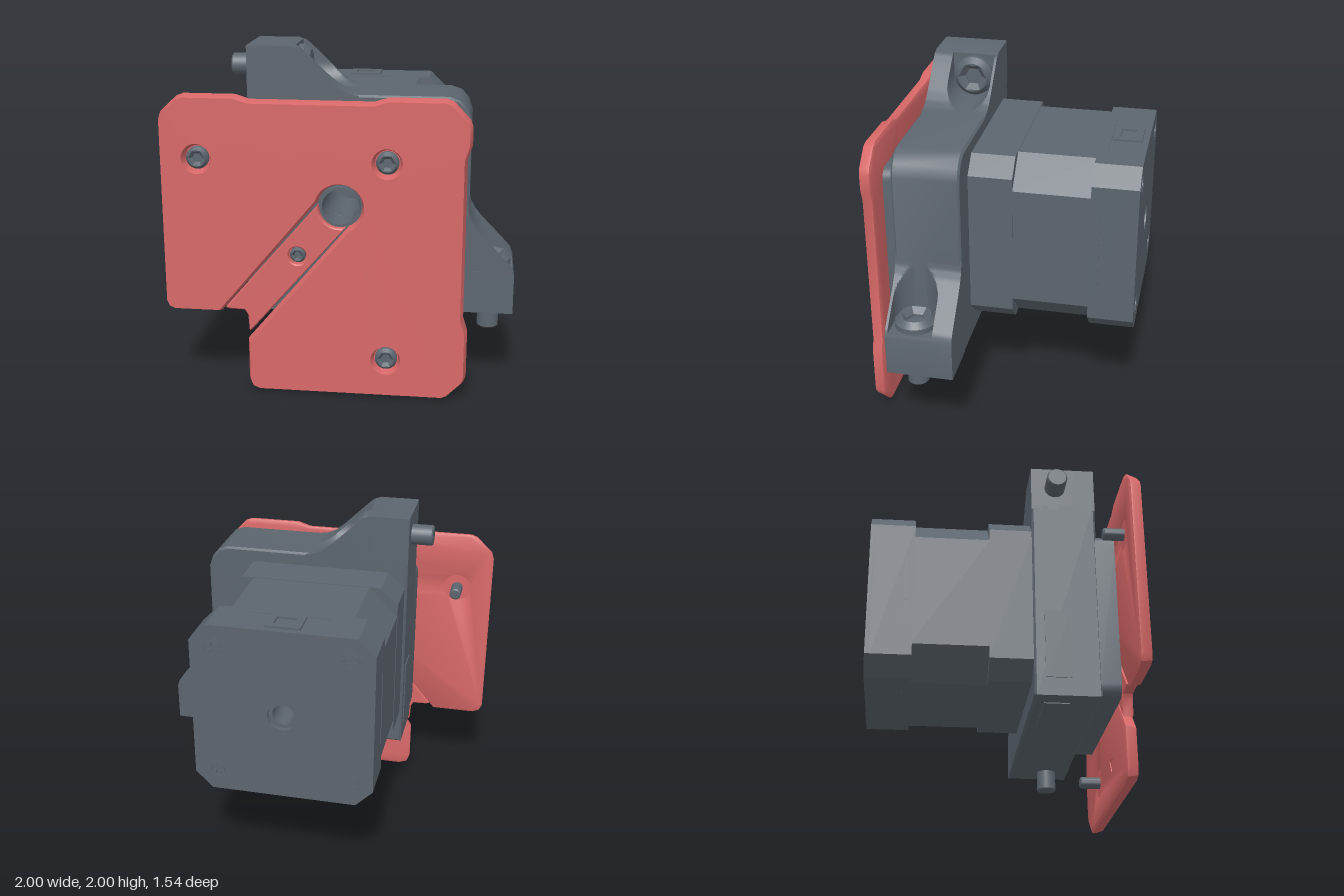
import * as THREE from 'three';
import { toCreasedNormals } from 'three/addons/utils/BufferGeometryUtils.js';

const red = new THREE.MeshStandardMaterial({ color: 0xd86868 });
red.name = 'coral red';
const grey = new THREE.MeshStandardMaterial({ color: 0x5c656e });
grey.name = 'slate grey';

const CX = 0.02, CY = 1.13; // motor axis
const AXIS = Math.atan2(-0.76, -0.65); // direction of the slot

const poly = (pts) => new THREE.Shape(pts.map(([x, y]) => new THREE.Vector2(x, y)));
const ring = (x, y, r, n = 32, turn = 0) => Array.from({ length: n }, (_, i) => {
  const a = turn + (i / n) * Math.PI * 2;
  return [x + r * Math.cos(a), y + r * Math.sin(a)];
});
const arc = (r, a0, a1, n = 24) => Array.from({ length: n + 1 }, (_, i) => {
  const a = a0 + ((a1 - a0) * i) / n;
  return [CX + r * Math.cos(a), CY + r * Math.sin(a)];
});
// Square with cut corners round the motor axis
const cutSquare = (h, c) => [[-h + c, -h], [h - c, -h], [h, -h + c], [h, h - c], [h - c, h], [-h + c, h], [-h, h - c], [-h, -h + c]]
  .map(([x, y]) => [CX + x, CY + y]);
function roundRect(x0, y0, x1, y1, r) {
  const out = [];
  [[x1 - r, y1 - r], [x0 + r, y1 - r], [x0 + r, y0 + r], [x1 - r, y0 + r]].forEach(([x, y], k) => {
    for (let i = 0; i <= 6; i++) {
      const a = (k + i / 6) * Math.PI / 2;
      out.push([x + r * Math.cos(a), y + r * Math.sin(a)]);
    }
  });
  return out;
}

// Extrusion from z0 to z1; "back" and "front" are the depths of the edge chamfers
function slab(name, mat, pts, holes, z0, z1, inset = 0, back = inset, front = inset) {
  const shape = poly(pts);
  shape.holes = holes.map((h) => new THREE.Path(h.map(([x, y]) => new THREE.Vector2(x, y))));
  const geo = new THREE.ExtrudeGeometry(shape, {
    depth: 1, bevelEnabled: inset > 0, bevelThickness: 1, bevelSize: inset, bevelOffset: -inset, bevelSegments: 1,
  });
  const p = geo.attributes.position;
  for (let i = 0; i < p.count; i++) {
    const z = p.getZ(i);
    p.setZ(i, z < -0.5 ? z0 : z < 0.5 ? z0 + (inset ? back : 0) : z < 1.5 ? z1 - (inset ? front : 0) : z1);
  }
  const mesh = new THREE.Mesh(toCreasedNormals(geo, 0.6), mat);
  mesh.name = name;
  return mesh;
}

function box(name, w, h, d, x, y, z) {
  const m = new THREE.Mesh(new THREE.BoxGeometry(w, h, d), grey);
  m.position.set(x, y, z);
  m.name = name;
  return m;
}

// Socket screw pointing along +z, head seated on z = 0
function screw(name, headR, headH, shaftR, length) {
  const g = new THREE.Group();
  g.name = name;
  g.add(slab('screwHead', grey, ring(0, 0, headR), [ring(0, 0, headR * 0.45, 6)], 0, headH, headR * 0.25, 0.001, headH * 0.5));
  const profile = [[0, -length], [shaftR - 0.008, -length], [shaftR, -length + 0.008], [shaftR, headH * 0.3], [0, headH * 0.3]];
  const shaft = new THREE.Mesh(toCreasedNormals(
    new THREE.LatheGeometry(profile.map(([x, y]) => new THREE.Vector2(x, y)), 28).rotateX(Math.PI / 2), 0.6), grey);
  shaft.name = 'screwShaft';
  g.add(shaft);
  return g;
}

// Clamp ear: sloped block with a round pocket for the bolt head
function ear(name) {
  const g = new THREE.Group(), zc = 0.345, R = 0.13, U = 0.26;
  g.name = name;
  const prof = [[0, 0.27], [0.235, 0.27], [0.28, 0.255], [0.33, 0.21], [0.47, 0.075], [0.52, 0.035], [0.57, 0.01], [0.63, 0]];
  const h = (u) => {
    const k = Math.max(1, prof.findIndex((q) => q[0] >= u - 1e-6));
    const [a, b] = [prof[k - 1], prof[k]];
    return a[1] + (b[1] - a[1]) * (u - a[0]) / (b[0] - a[0]);
  };
  const us = [[0, -1], [0, 0], [0.235, 0], [U, 0]];
  for (let i = 0; i <= 30; i++) us.push([U + (0.63 - U) * i / 30, 1]);
  const zs = [[0.2, true], [0.2, false], [zc - R - 1e-4, false]];
  for (let i = 0; i <= 24; i++) zs.push([zc - R * Math.cos(Math.PI * i / 24), false]);
  zs.push([zc + R + 1e-4, false], [0.59, false], [0.59, true]);
  const pos = [], idx = [];
  zs.forEach(([z, flat], j) => us.forEach(([u, kind], i) => {
    let v = h(u);
    const d = Math.abs(z - zc);
    if (kind === 1 && d <= R + 1e-6) v = Math.min(v, R - Math.sqrt(Math.max(0, R * R - d * d)));
    if (flat || kind < 0) v = -0.02;
    pos.push(u, v, z);
    if (i && j) {
      const n = us.length, a = (j - 1) * n + i - 1;
      idx.push(a, a + n, a + 1, a + 1, a + n, a + n + 1);
    }
  }));
  const geo = new THREE.BufferGeometry();
  geo.setAttribute('position', new THREE.Float32BufferAttribute(pos, 3));
  geo.setIndex(idx);
  const block = new THREE.Mesh(toCreasedNormals(geo, 0.5), grey);
  block.name = 'earBlock';
  const bolt = screw('clampBolt', 0.12, 0.07, 0.062, 0.39);
  bolt.rotation.y = Math.PI / 2;
  bolt.position.set(U, 0.13, zc);
  g.add(block, bolt);
  return g;
}

export function createModel() {
  const model = new THREE.Group();
  model.name = 'motorMount';

  // Motor: two end caps and a core with deeper corner cuts
  const motor = new THREE.Group();
  motor.name = 'motor';
  const bore = ring(CX, CY, 0.062);
  motor.add(
    slab('frontCap', grey, cutSquare(0.525, 0.1), [bore], -0.055, 0.21),
    slab('core', grey, cutSquare(0.522, 0.17), [bore], -0.51, -0.05),
    slab('rearCap', grey, cutSquare(0.525, 0.1), [bore], -0.74, -0.5),
    slab('rearPlate', grey, cutSquare(0.525, 0.1), [ring(CX, CY, 0.085)], -0.768, -0.74),
  );
  // Rear screws with cross recess
  const w = 0.008, l = 0.034;
  for (const sx of [-1, 1]) for (const sy of [-1, 1]) {
    const x = CX + sx * 0.39, y = CY + sy * 0.39;
    const cross = [[-w, -l], [w, -l], [w, -w], [l, -w], [l, w], [w, w], [w, l], [-w, l], [-w, w], [-l, w], [-l, -w], [-w, -w]]
      .map(([a, b]) => [x + a, y + b]);
    motor.add(slab('rearScrew', grey, ring(x, y, 0.042), [cross], -0.772, -0.765));
    motor.add(slab('rearScrewRim', grey, ring(x, y, 0.056), [ring(x, y, 0.048)], -0.771, -0.765));
  }
  // Seam ridges and socket
  for (const s of [-1, 1]) {
    motor.add(box('seam', 0.006, 0.46, 0.006, CX + s * 0.525, CY, -0.55));
    motor.add(box('seam', 0.46, 0.006, 0.006, CX, CY + s * 0.525, -0.55));
  }
  const socket = slab('socket', grey, [[-0.08, 0.56], [0.12, 0.56], [0.12, 0.73], [-0.08, 0.73]],
    [[[-0.04, 0.6], [0.08, 0.6], [0.08, 0.69], [-0.04, 0.69]]], 1.65, 1.667);
  socket.rotation.x = -Math.PI / 2;
  motor.add(socket);
  model.add(motor);

  // Bracket with two clamp ears
  const bracket = new THREE.Group();
  bracket.name = 'bracket';
  const wide = ring(CX, CY, 0.1);
  const body = [[-0.52, 0.48], [0.735, 0.48], [0.735, 1.6], [0.71, 1.67], [0.67, 1.715], [0.61, 1.735], [-0.52, 1.735]];
  bracket.add(slab('bracketBody', grey, body, [wide], 0.2, 0.59, 0.012));
  const topEar = ear('topEar');
  topEar.position.set(-0.52, 1.73, 0);
  const sideEar = ear('sideEar');
  sideEar.quaternion.setFromAxisAngle(new THREE.Vector3(1, 1, 0).normalize(), Math.PI);
  sideEar.position.set(0.73, 0.48, 0.79);
  bracket.add(topEar, sideEar);
  bracket.add(box('sidePad', 0.012, 0.42, 0.15, -0.52, 0.8, 0.34), box('bottomPad', 0.42, 0.012, 0.15, -0.2, 0.48, 0.34));
  bracket.add(slab('arrowMark', grey, [[0.745, 0.6], [0.82, 0.73], [0.72, 0.73]], [[[0.748, 0.618], [0.806, 0.722], [0.728, 0.722]]], 0.588, 0.594));
  model.add(bracket);

  // Spacer and bearing collar
  model.add(slab('spacer', grey, roundRect(-0.52, 0.49, 0.55, 1.55, 0.07), [wide], 0.58, 0.702));
  model.add(slab('collar', grey, ring(CX, CY, 0.114), [wide], 0.7, 0.74));

  // Face plate with a slanted slot ending in a round opening
  const outline = [[-0.45, 0], [0.61, 0], [0.645, 0.015], [0.73, 0.1], [0.745, 0.14], [0.745, 0.42], [0.72, 0.5], [0.72, 1.42],
    [0.745, 1.5], [0.745, 1.6], [0.73, 1.64], [0.64, 1.735], [0.6, 1.75], [0.29, 1.75], [0.21, 1.725], [-0.48, 1.725], [-0.56, 1.75],
    [-0.85, 1.75], [-0.89, 1.735], [-0.985, 1.645], [-1, 1.6], [-1, 0.54], [-0.982, 0.498], [-0.94, 0.48], [-0.67, 0.48],
    ...arc(0.125, AXIS - 1.11 + Math.PI * 2, AXIS + 1.11, 32),
    [-0.52, 0.31], [-0.52, 0.07], [-0.5, 0.02]];
  const screws = [[-0.78, 1.39], [0.285, 1.39], [0.285, 0.23]];
  model.add(slab('facePlate', red, outline, screws.map(([x, y]) => ring(x, y, 0.07)), 0.7, 0.77, 0.016, 0.008, 0.05));
  for (const [x, y] of screws) {
    model.add(slab('screwSeat', red, ring(x, y, 0.088), [], 0.7, 0.716));
    const s = screw('plateScrew', 0.064, 0.042, 0.036, 0.14);
    s.position.set(x, y, 0.716);
    model.add(s);
  }
  model.add(slab('plateMark', red, [[-0.13, 0.14], [-0.07, 0.25], [-0.19, 0.25]], [[[-0.13, 0.16], [-0.086, 0.241], [-0.174, 0.241]]], 0.695, 0.702));

  // Arm filling the slot
  const arm = [...arc(0.12, AXIS - 0.985, AXIS + 0.985), [-0.489, 0.381], [-0.505, 0.37], [-0.512, 0.47], [-0.53, 0.5],
    [-0.62, 0.503], [-0.641, 0.511]];
  model.add(slab('slotArm', red, arm, [ring(-0.22, 0.84, 0.052)], 0.7, 0.76, 0.007));
  model.add(slab('armScrewSeat', red, ring(-0.22, 0.84, 0.065), [], 0.7, 0.715));
  const armScrew = screw('armScrew', 0.045, 0.035, 0.025, 0.08);
  armScrew.position.set(-0.22, 0.84, 0.715);
  model.add(armScrew);
  return model;
}
